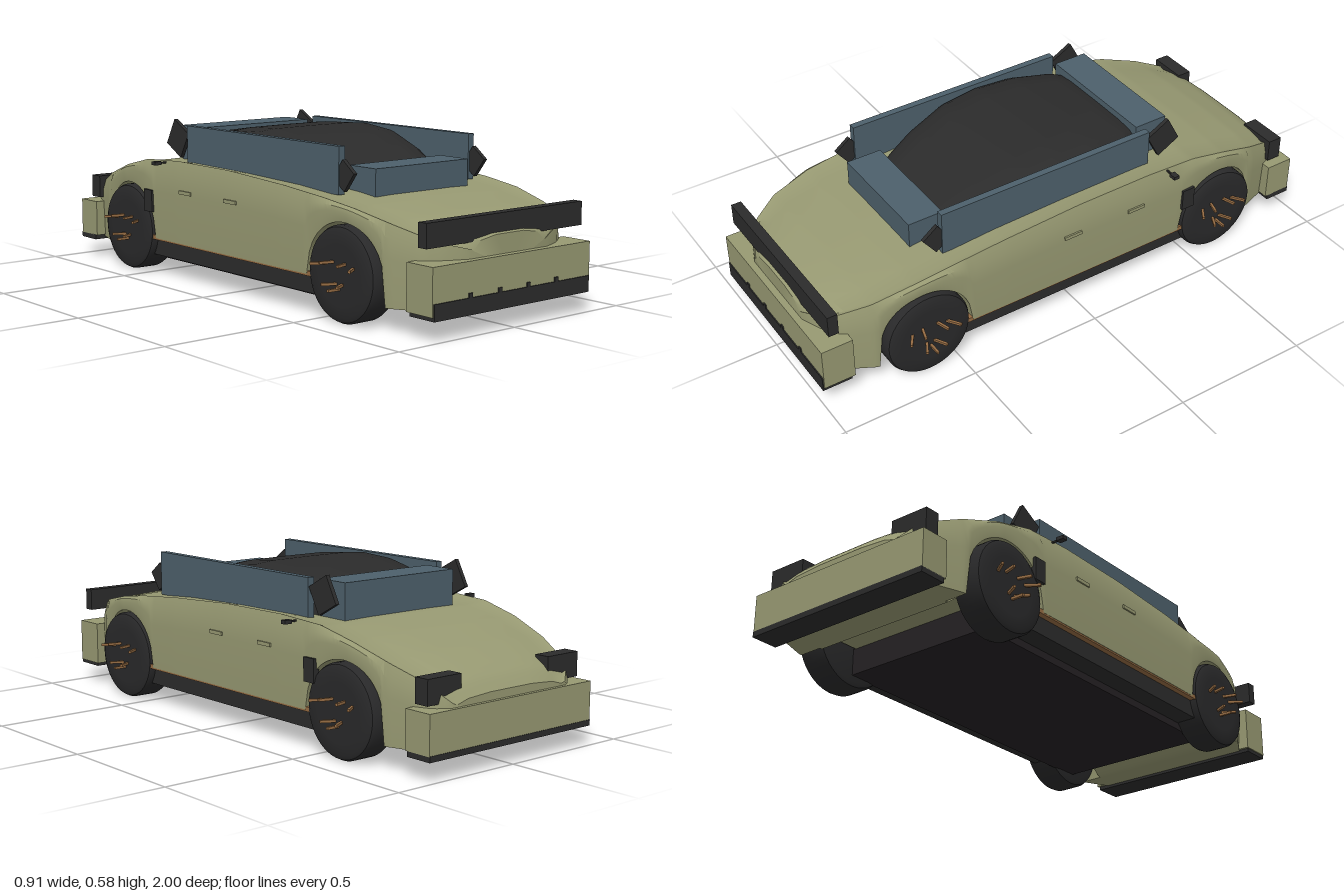
import * as THREE from 'three';
import { toCreasedNormals, mergeVertices } from 'three/addons/utils/BufferGeometryUtils.js';

const mat = (name, color) => Object.assign(new THREE.MeshStandardMaterial({ color }), { name });

// Piecewise linear lookup in a list of [z, a, b, ...] rows
function sample(rows, z) {
  let i = 0;
  while (i < rows.length - 2 && z > rows[i + 1][0]) i++;
  const p = rows[i], q = rows[i + 1];
  const t = THREE.MathUtils.clamp((z - p[0]) / (q[0] - p[0]), 0, 1);
  return p.slice(1).map((v, k) => THREE.MathUtils.lerp(v, q[k + 1], t));
}

// Skin mirrored half-sections (bottom centre to top centre) along z
function loft(zs, half, crease) {
  const rings = zs.map((z) => {
    const h = half(z);
    const mirrored = h.slice(1, -1).reverse().map(([x, y]) => [-x, y]);
    return [...h, ...mirrored].map(([x, y]) => [x, y, z]);
  });
  const cap = (ring) => {
    const y = (ring[0][1] + Math.max(...ring.map((p) => p[1]))) / 2;
    return ring.map((p) => [0, y, p[2]]);
  };
  rings.unshift(cap(rings[0]));
  rings.push(cap(rings[rings.length - 1]));
  const n = rings[0].length, index = [];
  for (let i = 0; i < rings.length - 1; i++) {
    for (let j = 0; j < n; j++) {
      const a = i * n + j, b = i * n + (j + 1) % n;
      index.push(a, b, b + n, a, b + n, a + n);
    }
  }
  const g = new THREE.BufferGeometry();
  g.setAttribute('position', new THREE.Float32BufferAttribute(rings.flat(2), 3));
  g.setIndex(index);
  return toCreasedNormals(mergeVertices(g), crease);
}

export function createModel() {
  const car = new THREE.Group();
  car.name = 'car';
  const olive = mat('olivePaint', 0x979972);
  const dark = mat('darkTrim', 0x2b2b2b);
  const rubber = mat('tyreBlack', 0x29292a);
  const blue = mat('blueGlass', 0x4d606b);
  const tan = mat('bronze', 0x966c43);
  const under = mat('underbody', 0x252124);

  const add = (name, geo, material, parent = car) => {
    const m = new THREE.Mesh(geo, material);
    m.name = name;
    parent.add(m);
    return m;
  };
  // Box given by its extents on each axis
  const box = (name, material, x0, x1, y0, y1, z0, z1, parent) => {
    const m = add(name, new THREE.BoxGeometry(x1 - x0, y1 - y0, z1 - z0), material, parent);
    m.position.set((x0 + x1) / 2, (y0 + y1) / 2, (z0 + z1) / 2);
    return m;
  };
  // The same box on both sides
  const pair = (name, material, x0, x1, ...rest) => [
    box(name + 'Left', material, x0, x1, ...rest),
    box(name + 'Right', material, -x1, -x0, ...rest),
  ];

  // Body shell: z, half width, shoulder height, centre height
  const shape = [
    [-0.985, 0.27, 0.235, 0.25], [-0.95, 0.315, 0.275, 0.29], [-0.9, 0.335, 0.305, 0.32],
    [-0.8, 0.37, 0.345, 0.36], [-0.65, 0.393, 0.395, 0.4], [-0.5, 0.402, 0.43, 0.425],
    [-0.3, 0.404, 0.44, 0.425], [0, 0.404, 0.437, 0.42], [0.3, 0.404, 0.42, 0.415],
    [0.5, 0.402, 0.402, 0.402], [0.65, 0.395, 0.382, 0.385], [0.8, 0.37, 0.348, 0.358],
    [0.9, 0.315, 0.312, 0.33], [0.94, 0.26, 0.29, 0.318], [0.972, 0.18, 0.27, 0.305],
  ];
  const wheelZ = 0.615, wheelY = 0.165, archR = 0.168;
  const stations = Array.from({ length: 141 }, (_, i) => -0.985 + (i / 140) * 1.957);
  add('bodyShell', loft(stations, (z) => {
    const [w, ys, yc] = sample(shape, z);
    const [yb] = sample([[-0.78, 0.08], [-0.7, 0.14], [0.7, 0.14], [0.78, 0.08]], z);
    const d = Math.abs(Math.abs(z) - wheelZ);
    const lift = d < archR ? wheelY + Math.sqrt(archR * archR - d * d) : yb;
    const inner = Math.min(0.28, w * 0.8);
    const mid = THREE.MathUtils.lerp(lift, ys, 0.6);
    return [
      [0, yb], [inner, yb], [inner, lift], [w * 0.985, lift], [w, mid],
      [w * 0.99, THREE.MathUtils.lerp(mid, ys, 0.6)], [w * 0.955, ys], [w * 0.9, ys - 0.006],
      [w * 0.72, THREE.MathUtils.lerp(ys, yc, 0.8) - 0.004], [w * 0.35, yc], [0, yc],
    ];
  }, 0.6), olive);

  // Domed roof: z, half width, top height
  const roof = [
    [-0.345, 0.24, 0.525], [-0.3, 0.258, 0.54], [-0.15, 0.283, 0.563], [0, 0.287, 0.57],
    [0.15, 0.28, 0.555], [0.3, 0.253, 0.51], [0.4, 0.228, 0.465], [0.46, 0.21, 0.43],
  ];
  const roofZs = Array.from({ length: 36 }, (_, i) => -0.345 + i * 0.023);
  add('roof', loft(roofZs, (z) => {
    const [w, t] = sample(roof, z);
    return [[0, 0.38], [w, 0.38], [w, t - 0.045], [w * 0.97, t - 0.022], [w * 0.88, t - 0.008],
      [w * 0.6, t - 0.001], [0, t]];
  }, 0.7), dark);

  // Glazing and pillars
  box('windscreen', blue, -0.212, 0.212, 0.39, 0.485, 0.44, 0.572);
  box('rearWindow', blue, -0.25, 0.25, 0.39, 0.55, -0.47, -0.34);
  pair('sideWindow', blue, 0.285, 0.311, 0.4, 0.56, -0.352, 0.502);
  for (const p of pair('frontPillar', dark, 0.292, 0.307, 0.425, 0.505, 0.485, 0.555)) p.rotation.x = 0.65;
  for (const p of pair('rearPillar', dark, 0.292, 0.307, 0.455, 0.56, -0.47, -0.37)) p.rotation.x = 0.5;

  // Front end
  box('frontBumper', olive, -0.36, 0.36, 0.083, 0.24, 0.88, 0.996);
  box('frontBar', dark, -0.355, 0.355, 0.29, 0.37, 0.925, 0.962);
  box('frontSplitter', dark, -0.355, 0.355, 0.07, 0.125, 0.988, 1);
  box('frontSkirt', dark, -0.355, 0.355, 0.07, 0.084, 0.89, 0.99);
  for (const x of [-0.198, -0.067, 0.064, 0.196]) {
    box('splitterTab', dark, x - 0.008, x + 0.008, 0.12, 0.14, 0.988, 1);
  }

  // Rear end
  box('rearBumper', olive, -0.372, 0.372, 0.088, 0.222, -0.998, -0.89);
  box('rearSkirt', dark, -0.372, 0.372, 0.07, 0.09, -1, -0.9);
  pair('tailLight', dark, 0.2, 0.346, 0.235, 0.32, -0.96, -0.905);

  // Sides and underside
  box('floor', under, -0.3, 0.3, 0.045, 0.142, -0.62, 0.62);
  pair('rocker', dark, 0.28, 0.375, 0.072, 0.135, -0.5, 0.5);
  pair('sillStrip', tan, 0.37, 0.396, 0.134, 0.15, -0.47, 0.47);
  pair('sideVent', dark, 0.385, 0.409, 0.238, 0.32, -0.497, -0.445);
  pair('frontHandle', olive, 0.398, 0.409, 0.325, 0.338, 0.0, 0.07);
  pair('rearHandle', olive, 0.398, 0.409, 0.325, 0.338, -0.27, -0.2);
  pair('mirror', dark, 0.413, 0.442, 0.422, 0.435, -0.392, -0.37);
  pair('mirrorStem', dark, 0.375, 0.415, 0.425, 0.431, -0.384, -0.378);

  // Wheels with splayed bronze spokes: y offset, z offset, yaw
  const profile = [[0, 0.057], [0.1, 0.057], [0.14, 0.057], [0.155, 0.05], [0.161, 0.038],
    [0.161, -0.038], [0.155, -0.052], [0.14, -0.057], [0, -0.057]];
  const tyre = toCreasedNormals(
    new THREE.LatheGeometry(profile.map(([r, h]) => new THREE.Vector2(r, h)).reverse(), 48), 0.6);
  tyre.rotateZ(-Math.PI / 2);
  const spokes = [[0.03, -0.08, 0.6], [0.04, -0.035, 0.3], [0.04, 0.035, -0.3], [0.03, 0.08, -0.6],
    [-0.03, -0.025, 0.5], [-0.045, 0, 0], [-0.03, 0.025, -0.5]];
  for (const side of [1, -1]) {
    for (const end of [1, -1]) {
      const wheel = new THREE.Group();
      wheel.name = (end > 0 ? 'front' : 'rear') + 'Wheel' + (side > 0 ? 'Left' : 'Right');
      wheel.position.set(side * 0.348, 0.163, end * wheelZ);
      wheel.rotation.y = side > 0 ? 0 : Math.PI;
      add('tyre', tyre, rubber, wheel);
      for (const [y, z, yaw] of spokes) {
        const s = add('spoke', new THREE.BoxGeometry(0.06, 0.009, 0.009), tan, wheel);
        s.position.set(0.075, y, z);
        s.rotation.y = yaw;
      }
      car.add(wheel);
    }
  }
  return car;
}
